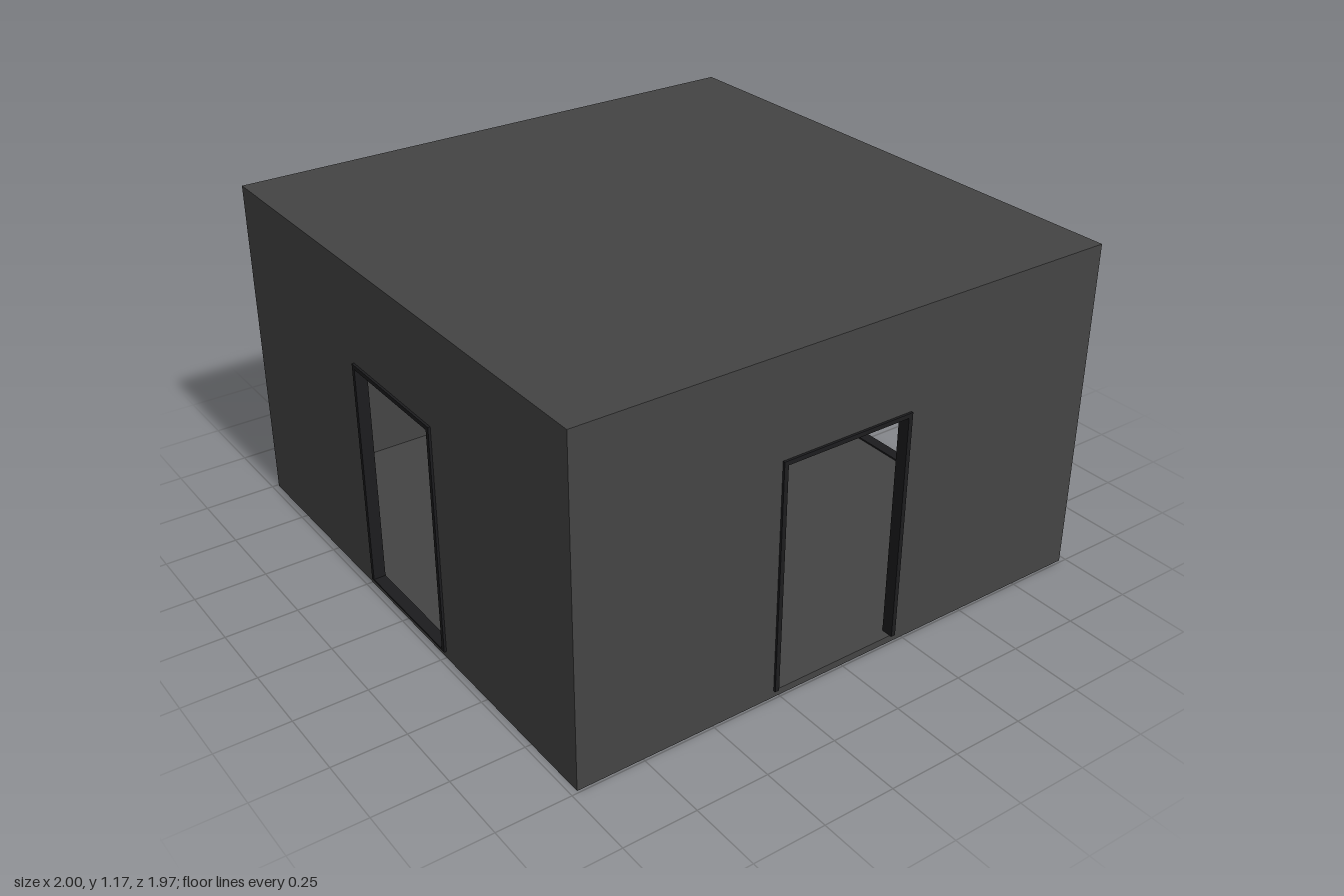
import * as THREE from 'three';

const wallMat = new THREE.MeshStandardMaterial({ color: 0x444444 });
wallMat.name = 'dark grey wall';
const frameMat = new THREE.MeshStandardMaterial({ color: 0x1c1c1e });
frameMat.name = 'black frame';

const HX = 0.992, HZ = 0.978;              // outer half sizes
const FLOOR = 0.024, CEILING = 1.142, TOP = 1.172;
const T = 0.026;                           // wall thickness
const DOOR_W = 0.486, DOOR_TOP = 0.832;    // outside of the door frame
const BAR = 0.015, FRAME_D = 0.042, PROUD = 0.008;

function box(name, mat, w, h, d, x, y, z) {
  const mesh = new THREE.Mesh(new THREE.BoxGeometry(w, h, d), mat);
  mesh.name = name;
  mesh.position.set(x, y, z);
  return mesh;
}

// Outline of a wall with a doorway notched out of its lower edge
function wallShape(half, doorX) {
  const l = doorX - DOOR_W / 2, r = doorX + DOOR_W / 2;
  return new THREE.Shape([
    [-half, FLOOR], [l, FLOOR], [l, DOOR_TOP], [r, DOOR_TOP],
    [r, FLOOR], [half, FLOOR], [half, CEILING], [-half, CEILING],
  ].map(([x, y]) => new THREE.Vector2(x, y)));
}

// Wall facing local +z with its outer face at z = dist
function makeWall({ name, half, dist, doorX, turn, threshold }) {
  const side = new THREE.Group();
  side.name = name;
  const geo = new THREE.ExtrudeGeometry(wallShape(half, doorX), { depth: T, bevelEnabled: false });
  geo.translate(0, 0, dist - T);
  const wall = new THREE.Mesh(geo, wallMat);
  wall.name = name + 'Panel';
  side.add(wall);

  // Door frame, slightly proud of the outer face
  const z = dist + PROUD - FRAME_D / 2;
  const h = DOOR_TOP - FLOOR;
  for (const s of [-1, 1]) {
    side.add(box('doorJamb', frameMat, BAR, h, FRAME_D, doorX + s * (DOOR_W - BAR) / 2, FLOOR + h / 2, z));
  }
  const inner = DOOR_W - 2 * BAR;
  side.add(box('doorLintel', frameMat, inner, BAR, FRAME_D, doorX, DOOR_TOP - BAR / 2, z));
  if (threshold) {
    side.add(box('doorThreshold', frameMat, inner, 0.006, FRAME_D, doorX, FLOOR + 0.003, z));
  }
  side.rotation.y = turn;
  return side;
}

export function createModel() {
  const room = new THREE.Group();
  room.name = 'room';

  // Floor and roof slabs
  room.add(box('floor', wallMat, 2 * HX, FLOOR, 2 * HZ, 0, FLOOR / 2, 0));
  room.add(box('roof', wallMat, 2 * HX, TOP - CEILING, 2 * HZ, 0, (TOP + CEILING) / 2, 0));

  // Four walls, each with an open doorway
  const walls = [
    { name: 'frontWall', half: HX, dist: HZ, doorX: 0.008, turn: 0, threshold: true },
    { name: 'backWall', half: HX, dist: HZ, doorX: -0.008, turn: Math.PI, threshold: true },
    { name: 'leftWall', half: HZ - T, dist: HX, doorX: -0.027, turn: Math.PI / 2 },
    { name: 'rightWall', half: HZ - T, dist: HX, doorX: -0.055, turn: -Math.PI / 2 },
  ];
  for (const spec of walls) room.add(makeWall(spec));
  return room;
}
